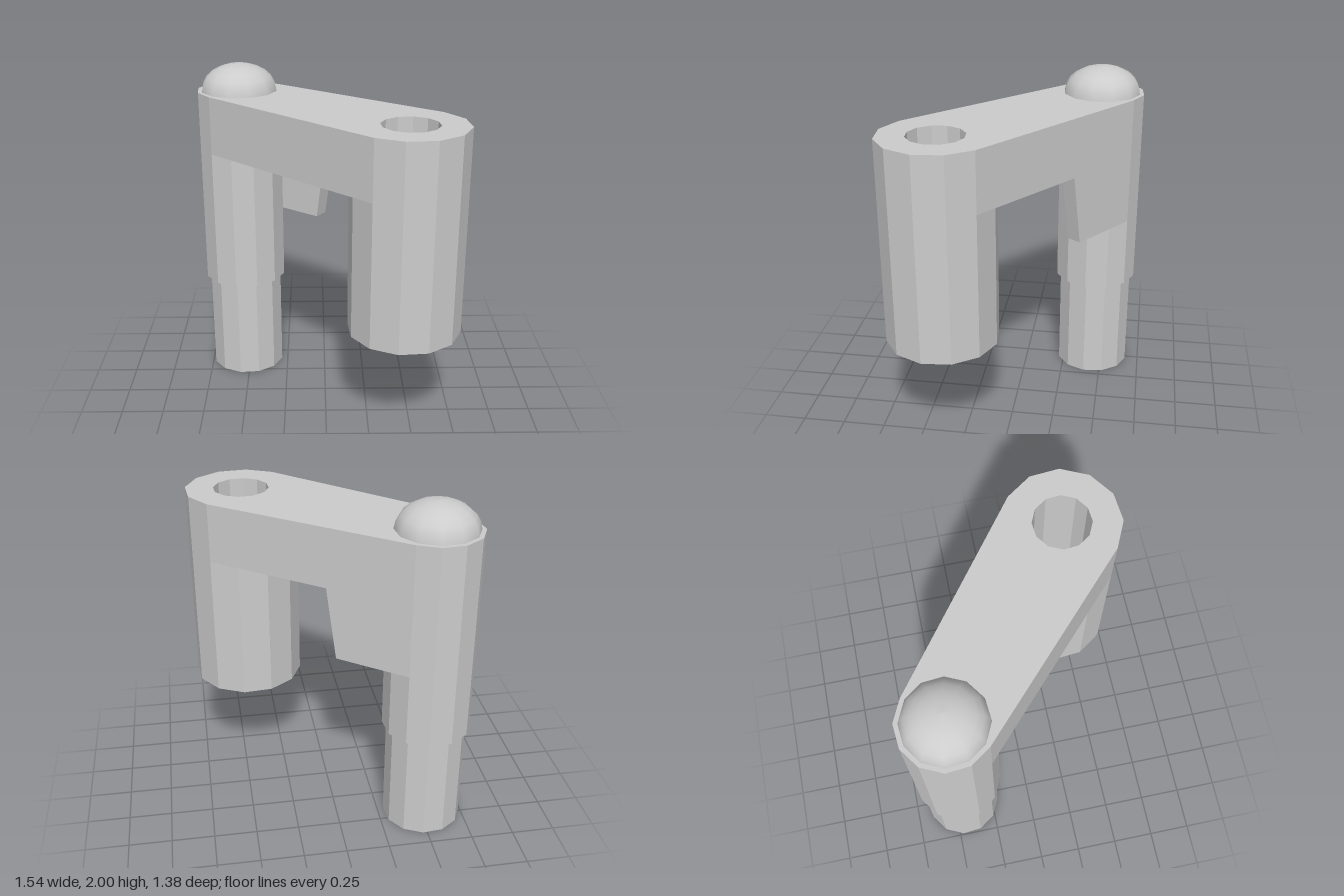
import * as THREE from 'three';

const SIDES = 12;
const TURN = 10; // rotation of every facet ring, in degrees

// Post centres on the ground plane: [x, z]
const PIN = [-0.515, -0.438];
const EYE = [0.446, 0.37];
const PIN_R = 0.231, SLEEVE_R = 0.256, EYE_R = 0.327, HOLE_R = 0.163;

// Points on a faceted ring, from one facet index to another
function ring([x, z], r, from = 0, to = SIDES - 1) {
  const pts = [];
  for (let i = from; i <= to; i++) {
    const a = THREE.MathUtils.degToRad(TURN + (i * 360) / SIDES);
    pts.push(new THREE.Vector2(x + r * Math.cos(a), z + r * Math.sin(a)));
  }
  return pts;
}

// Upright prism from an [x, z] outline between two heights, wound so all walls face out
function prism(outline, y0, y1, hole) {
  const flip = (pts) => pts.map((p) => new THREE.Vector2(p.x, -p.y)).reverse();
  const shape = new THREE.Shape(flip(outline));
  if (hole) shape.holes.push(new THREE.Path(flip(hole).reverse()));
  const geo = new THREE.ExtrudeGeometry(shape, { depth: y1 - y0, bevelEnabled: false });
  return geo.rotateX(-Math.PI / 2).translate(0, y0, 0);
}

export function createModel() {
  const group = new THREE.Group();
  const metal = new THREE.MeshStandardMaterial({ color: 0xcccccc });
  metal.name = 'plain grey metal';
  const add = (name, geo) => {
    const mesh = new THREE.Mesh(geo, metal);
    mesh.name = name;
    group.add(mesh);
  };

  const hole = ring(EYE, HOLE_R);

  // Link arm: hull of the two posts, pierced at the eye
  const pinArc = ring(PIN, SLEEVE_R, 4, 10);
  const eyeArc = ring(EYE, EYE_R, -2, 4);
  add('linkArm', prism([...pinArc, ...eyeArc], 1.49, 1.84, hole));

  // Hollow post and solid sleeve below the arm
  add('eyePost', prism(ring(EYE, EYE_R), 0.638, 1.49, hole));
  add('pinSleeve', prism(ring(PIN, SLEEVE_R), 0.638, 1.49));
  add('pin', prism(ring(PIN, PIN_R), 0, 0.638));

  // Domed pin head: a flattened hemisphere
  const profile = [];
  for (let i = 0; i <= 6; i++) {
    const a = (Math.PI / 2) * (1 - i / 6);
    profile.push(new THREE.Vector2(PIN_R * Math.sin(a), 1.84 + 0.16 * Math.cos(a)));
  }
  const dome = new THREE.LatheGeometry(profile, SIDES, THREE.MathUtils.degToRad(90 - TURN));
  add('pinHead', dome.translate(PIN[0], 0, PIN[1]));

  // Thin web under the arm, flush with its back face, with a sloping end
  const start = pinArc[6], end = eyeArc[0];
  const run = end.clone().sub(start);
  const angle = Math.atan2(run.y, run.x);
  const web = new THREE.Shape([
    new THREE.Vector2(0, 1.07), new THREE.Vector2(0.445, 1.07),
    new THREE.Vector2(0.508, 1.49), new THREE.Vector2(0, 1.49),
  ]);
  const webGeo = new THREE.ExtrudeGeometry(web, { depth: 0.092, bevelEnabled: false });
  add('backWeb', webGeo.rotateY(-angle).translate(start.x, 0, start.y));

  return group;
}
